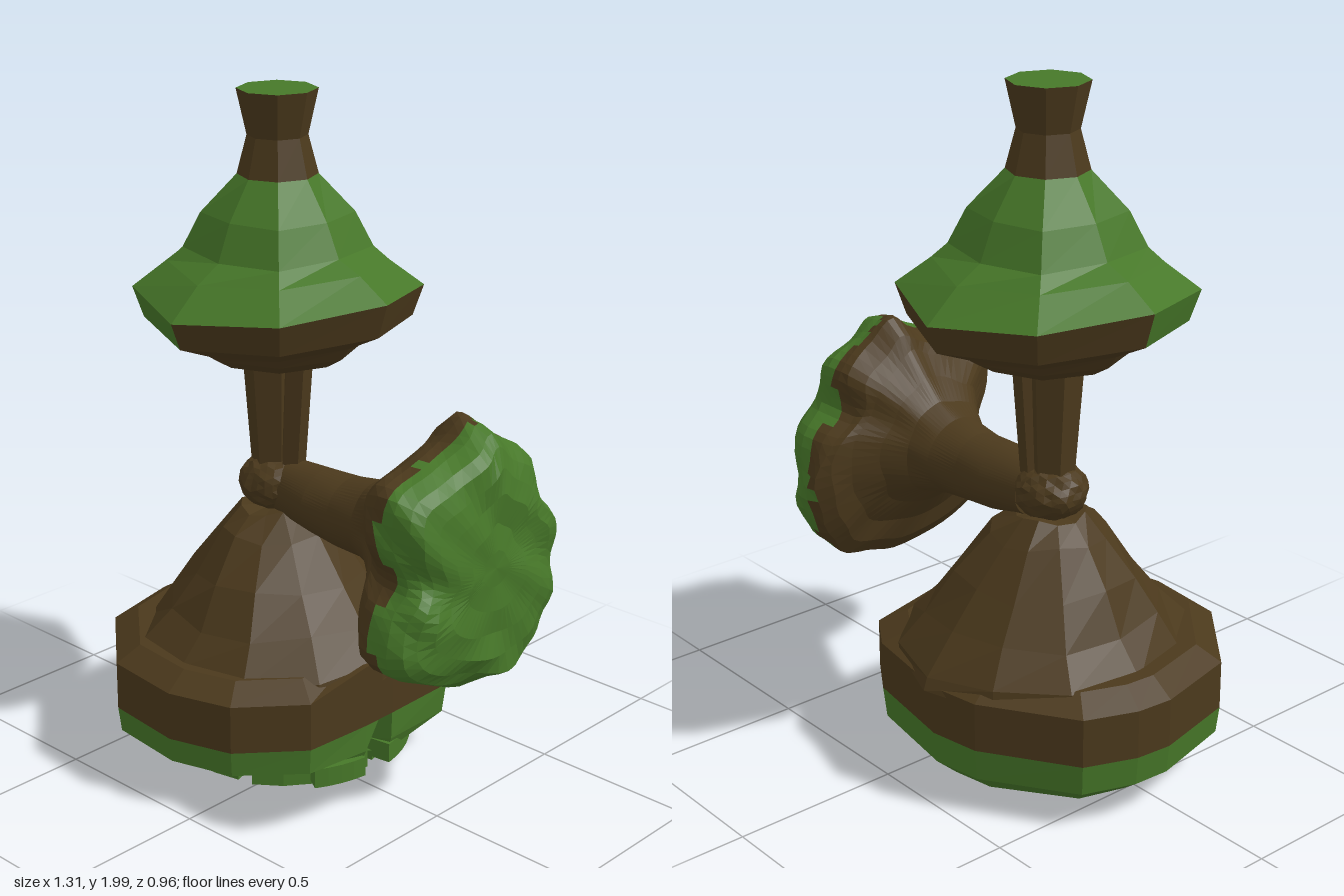
import * as THREE from 'three';

const makeMaterial = (color) => new THREE.MeshStandardMaterial({ color, flatShading: true });
const brown = makeMaterial(0x4b391c);
const green = makeMaterial(0x477829);
const v = (x, y, z) => new THREE.Vector3(x, y, z);

// smooth repeatable bumps
const bump = (p, f) =>
  Math.sin(p.x * f * 1.3 + p.y * f + 1) * Math.sin(p.z * f * 1.1 - p.y * f * 0.6 + 2) +
  0.5 * Math.sin(p.x * f * 2.1 - p.z * f * 1.9 + p.y * f * 2.3);

// joins rings (clockwise seen from the first one) into a capped solid in two colours
function loft(name, rings, isGreen) {
  const lists = { Wood: [], Leaf: [] };
  const tri = (band, j, ...pts) => {
    const c = pts.reduce((s, p) => s.add(p), v(0, 0, 0)).divideScalar(pts.length);
    const out = isGreen(band, j, c) ? lists.Leaf : lists.Wood;
    for (let k = 1; k < pts.length - 1; k++)
      for (const p of [pts[0], pts[k], pts[k + 1]]) out.push(p.x, p.y, p.z);
  };
  const n = rings[0].length, last = rings.length - 1;
  const mid = (r) => r.reduce((s, p) => s.add(p), v(0, 0, 0)).divideScalar(n);
  const first = mid(rings[0]), end = mid(rings[last]);
  for (let j = 0; j < n; j++) {
    const k = (j + 1) % n;
    tri(-1, j, first, rings[0][k], rings[0][j]);
    for (let i = 0; i < last; i++) tri(i, j, rings[i][j], rings[i][k], rings[i + 1][k], rings[i + 1][j]);
    tri(last, j, end, rings[last][j], rings[last][k]);
  }
  const group = new THREE.Group();
  group.name = name;
  for (const key in lists) {
    if (!lists[key].length) continue;
    const g = new THREE.BufferGeometry();
    g.setAttribute('position', new THREE.Float32BufferAttribute(lists[key], 3));
    g.computeVertexNormals();
    const mesh = new THREE.Mesh(g, key === 'Leaf' ? green : brown);
    mesh.name = name + key;
    group.add(mesh);
  }
  return group;
}

const circle = (n, fn) => Array.from({ length: n }, (_, i) => fn((i / n) * Math.PI * 2, i));

// wide lower canopy: an irregular drum with a notch on its left side
function createBase() {
  const outline = [
    [-0.66, -0.02], [-0.65, -0.13], [-0.59, -0.28], [-0.33, -0.445], [-0.18, -0.47], [0.12, -0.42],
    [0.24, -0.34], [0.245, -0.09], [0.245, -0.03], [0.245, 0.02], [0.23, 0.24], [0.08, 0.41],
    [-0.11, 0.47], [-0.36, 0.445], [-0.6, 0.24],
  ];
  // y, scale, tilt towards the back
  const levels = [[0.4, 0.84, 0], [0.355, 1, 0], [0.21, 1, 0], [0.125, 0.98, 0.02], [0.08, 0.84, 0.05], [0.058, 0.68, 0.04]];
  const rings = levels.map(([y, s, tilt], i) => outline.map(([x, z], j) => {
    const side = i > 0 && i < 5 && j >= 7 && j <= 9;
    const px = i > 2 && i < 5 && j === 8 ? 0.03 : -0.2 + (x + 0.2) * (side ? 1 - (1 - s) * 0.3 : s);
    return v(px, y + tilt * z + (i === 1 && side ? 0.045 : 0), z * (side ? 1 : s));
  }));
  return loft('lowerCanopy', rings, (band) => band >= 2);
}

// sloping mound that narrows up to the knot
function createMound() {
  const levels = [[0.1, 0.77, -0.185], [0.165, 0.71, -0.175], [0.255, 0.59, -0.165], [0.33, 0.48, -0.155], [0.41, 0.385, -0.155], [0.42, 0.34, -0.16]];
  const rings = levels.map(([r, y, cx], i) => circle(12, (a, j) => {
    const q = r * (1 + 0.025 * Math.sin(j * 2.4 + i));
    return v(cx + q * Math.cos(a), y + 0.01 * Math.sin(j * 1.7 + i * 2), -0.04 + 1.04 * q * Math.sin(a));
  }));
  return loft('mound', rings, () => false);
}

// broken leaf plates under the base: a split ring around a small hub
function createUnderside() {
  const group = new THREE.Group();
  group.name = 'undersideLeaves';
  const plate = (inner, outer, from, to, low) => {
    const shape = new THREE.Shape();
    shape.absarc(0, 0, outer, from, to, false);
    shape.absarc(0, 0, inner, to, from, true);
    const g = new THREE.ExtrudeGeometry(shape, { depth: 0.11 - low, bevelEnabled: false, curveSegments: 2 });
    const m = new THREE.Mesh(g.rotateX(-Math.PI / 2), green);
    m.position.set(-0.14, low, -0.02);
    m.name = 'leafPlate';
    group.add(m);
  };
  circle(5, (a, i) => plate(0.15, 0.32 + 0.02 * Math.sin(i * 2), a + 0.2, a + 1.3, 0.028 + 0.008 * (i % 3)));
  circle(3, (a) => plate(0.03, 0.13, a + 0.5, a + 2.3, 0.006));
  plate(0.28, 0.39, -0.55, -0.12, 0.05);
  plate(0.28, 0.39, 0.15, 0.6, 0.05);
  return group;
}

// rough lump where the trunks meet
function createKnot() {
  const g = new THREE.IcosahedronGeometry(1, 4);
  const pos = g.attributes.position, p = v(0, 0, 0);
  for (let i = 0; i < pos.count; i++) {
    p.fromBufferAttribute(pos, i);
    p.multiplyScalar(1 + 0.05 * bump(p, 8)).multiply(v(0.112, 0.085, 0.105));
    pos.setXYZ(i, p.x, p.y, p.z);
  }
  g.computeVertexNormals();
  const knot = new THREE.Mesh(g, brown);
  knot.position.set(-0.19, 0.84, -0.05);
  knot.name = 'knot';
  return knot;
}

// upright trunk made of a thick post and thinner strands
function createTrunk() {
  const group = new THREE.Group();
  group.name = 'upperTrunk';
  const strand = (top, bottom, rTop, rBottom, sides) => {
    const ring = (c, r) => circle(sides, (a) => v(c[0] + r * Math.cos(a + 0.4), c[1], c[2] + r * Math.sin(a + 0.4)));
    group.add(loft('trunkStrand', [ring(top, rTop), ring(bottom, rBottom)], () => false));
  };
  strand([-0.205, 1.28, -0.045], [-0.2, 0.84, -0.05], 0.085, 0.06, 6);
  strand([-0.105, 1.28, -0.06], [-0.135, 0.84, -0.06], 0.045, 0.038, 5);
  strand([-0.15, 1.28, -0.11], [-0.16, 0.84, -0.09], 0.04, 0.03, 5);
  return group;
}

// faceted top canopy with a flared neck; last value is the saddle tilt of the rim
function createTopCanopy() {
  const profile = [
    [0.115, 2, 0], [0.086, 1.87, 0], [0.115, 1.76, 0], [0.19, 1.65, 0], [0.235, 1.55, 0.005],
    [0.315, 1.51, 0.012], [0.416, 1.435, 0.025], [0.385, 1.345, 0.015], [0.275, 1.295, 0.01],
    [0.245, 1.265, 0], [0.19, 1.232, 0], [0.06, 1.215, 0],
  ];
  const rings = profile.map(([r, y, tilt], i) => circle(8, (a, j) => {
    const q = r * (j % 2 && (i === 3 || i === 4) ? 1.15 : 1);
    return v(-0.18 + q * Math.cos(a), y + tilt * Math.cos(2 * a), -0.055 + q * Math.sin(a));
  }));
  // the rim band is leafy only on the front right
  return loft('topCanopy', rings, (band, j) =>
    band === -1 || (band >= 2 && band <= 5) || (band === 6 && (j === 2 || j === 3)));
}

// side tree: a bent branch flaring into a lumpy leaf face, lofted from its outer face inwards
function createSideTree() {
  const outline = [ // z, y
    [-0.106, 1.19], [-0.18, 1.13], [-0.285, 1.06], [-0.297, 0.944], [-0.38, 0.865], [-0.414, 0.73],
    [-0.377, 0.573], [-0.287, 0.483], [-0.16, 0.44], [0, 0.45], [0.164, 0.504], [0.29, 0.6],
    [0.268, 0.73], [0.212, 0.81], [0.255, 0.918], [0.244, 1.055], [0.11, 1.1], [-0.02, 1.14],
  ];
  const curve = new THREE.CatmullRomCurve3(outline.map(([z, y]) => v(0, y, z)), true);
  const shape = curve.getPoints(72).slice(0, 72);
  // x, scale, centre y, roundness
  const levels = [
    [0.64, 0.15, 0.8, 0.6], [0.642, 0.35, 0.8, 0.4], [0.638, 0.55, 0.8, 0.2], [0.634, 0.72, 0.8, 0], [0.622, 0.87, 0.8, 0],
    [0.595, 0.95, 0.8, 0], [0.55, 1, 0.8, 0], [0.515, 1, 0.8, 0], [0.48, 1, 0.8, 0], [0.445, 0.97, 0.8, 0], [0.41, 0.88, 0.81, 0.1],
    [0.385, 0.74, 0.825, 0.3], [0.33, 0.55, 0.83, 0.5], [0.27, 0.41, 0.83, 0.8], [0.2, 0.335, 0.82, 1],
    [0.1, 0.3, 0.815, 1], [0, 0.29, 0.82, 1], [-0.15, 0.24, 0.83, 1],
  ];
  const rings = levels.map(([x, s, cy, round]) => shape.map((p) => {
    const d = v(0, p.y - 0.8, p.z + 0.06);
    const len = d.length();
    d.multiplyScalar((s * (len + (0.345 - len) * round)) / len);
    const b = bump(v(x, cy + d.y, d.z - 0.06), 15);
    d.multiplyScalar(1 + (x < 0.45 ? 0.035 : 0.02) * b);
    // the face leans in at the top and towards the back edge
    const lean = x > 0.3 ? 0.011 * b - 0.03 * (d.y + Math.max(0, -d.z - 0.15) * 4) : 0;
    return v(x + lean, cy + d.y, d.z - 0.06);
  }));
  return loft('sideTree', rings, (band, j, c) =>
    c.x + 0.02 * Math.sin(j * 0.7) + 0.012 * Math.sin(j * 2) + 0.15 * Math.max(0, -c.z - 0.2) > 0.5);
}

export function createModel() {
  const model = new THREE.Group();
  model.name = 'strangeTree';
  model.add(createBase(), createMound(), createUnderside(), createKnot(),
    createTrunk(), createTopCanopy(), createSideTree());
  return model;
}
